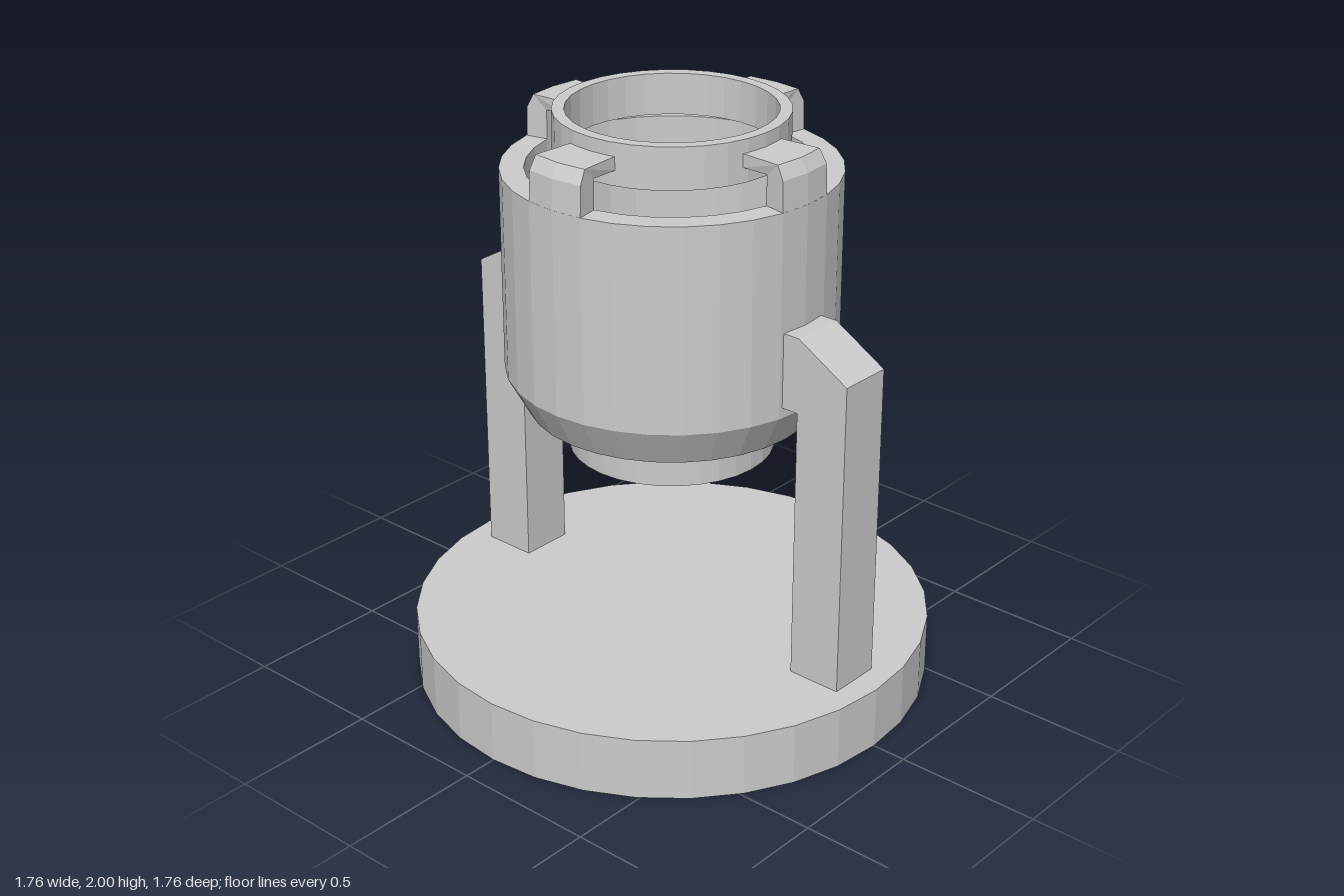
import * as THREE from 'three';

const SIDES = 32;
const material = new THREE.MeshStandardMaterial({ color: 0xcccccc, flatShading: true });

function part(name, geometry, parent) {
  const mesh = new THREE.Mesh(geometry, material);
  mesh.name = name;
  parent.add(mesh);
  return mesh;
}

// Turned part from [radius, height] pairs, outside running upward
function turned(points) {
  return new THREE.LatheGeometry(points.map(([r, y]) => new THREE.Vector2(r, y)), SIDES);
}

// Prism from a [radius, height] outline, extruded along z
function prism(outline, depth, steps = 1) {
  const shape = new THREE.Shape(outline.map(([r, y]) => new THREE.Vector2(r, y)));
  const geometry = new THREE.ExtrudeGeometry(shape, { depth, steps, bevelEnabled: false });
  return geometry.translate(0, 0, -depth / 2);
}

// Rim clip: an L-shaped section swept over two facets of the body
function clipGeometry() {
  const outline = [[0.47, 1.8], [0.55, 1.8], [0.545, 1.91], [0.52, 1.955],
    [0.372, 1.955], [0.372, 1.91], [0.47, 1.91]];
  const geometry = prism(outline, 2, 2);
  const p = geometry.attributes.position;
  for (let i = 0; i < p.count; i++) {
    const r = p.getX(i);
    const angle = p.getZ(i) * (2 * Math.PI / SIDES);
    // the inner arm keeps a constant width, the outer leg fans out
    p.setXYZ(i, -Math.max(r, 0.47) * Math.sin(angle), p.getY(i), r * Math.cos(angle));
  }
  geometry.computeVertexNormals();
  return geometry;
}

export function createModel() {
  const model = new THREE.Group();
  model.name = 'mountedCanister';

  // Round base plate
  part('base', turned([[0, 0], [0.88, 0], [0.88, 0.215], [0, 0.215]]), model);

  // Hollow body with a chamfered foot
  part('body', turned([[0, 0.99], [0.48, 0.99], [0.55, 1.12], [0.55, 1.81],
    [0.47, 1.81], [0.47, 1.12], [0, 1.12]]), model);

  // Plug under the body
  part('lowerPlug', turned([[0, 0.835], [0.343, 0.835], [0.343, 0.995]]), model);

  // Open ring held above the rim
  part('topRing', turned([[0.34, 1.86], [0.38, 1.86], [0.38, 2], [0.34, 2], [0.34, 1.86]]), model);

  // Four clips between rim and ring
  const clip = clipGeometry();
  for (let i = 0; i < 4; i++) {
    part('rimClip', clip, model).rotation.y = i * Math.PI / 2;
  }

  // Front and back supports, bent inward to hold the body
  const support = prism([[0.6, 0.21], [0.79, 0.21], [0.79, 1.3], [0.6, 1.41],
    [0.53, 1.41], [0.53, 1.155], [0.6, 1.155]], 0.188).rotateY(-Math.PI / 2);
  ['frontSupport', 'backSupport'].forEach((name, i) => {
    part(name, support, model).rotation.y = i * Math.PI;
  });

  return model;
}
